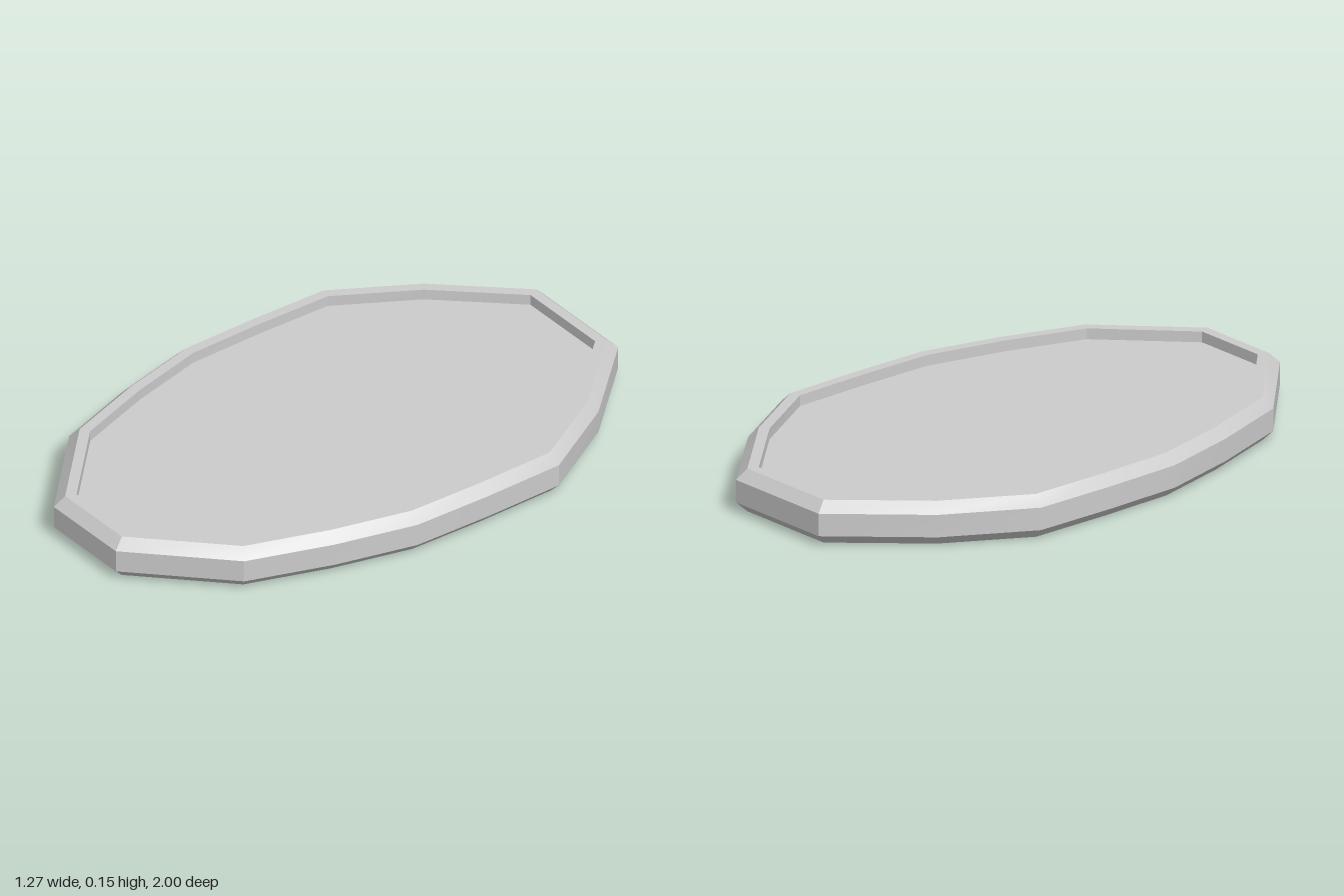
import * as THREE from 'three';
import { toCreasedNormals } from 'three/addons/utils/BufferGeometryUtils.js';

// Half outline [x, z] from back to front, mirrored to close the loop
const half = [
  [0.2, -1], [0.46, -0.72], [0.63, -0.43], [0.635, -0.14],
  [0.63, 0.14], [0.56, 0.42], [0.46, 0.71], [0.163, 1],
];
const outline = [...half, ...half.map(([x, z]) => [-x, z]).reverse()];

// Outline moved inwards by a distance, with mitred corners, at height y
function ring(inset, y) {
  const n = outline.length;
  const normal = (a, b) => new THREE.Vector2(a[1] - b[1], b[0] - a[0]).normalize();
  return outline.map((p, i) => {
    const n0 = normal(outline[(i + n - 1) % n], p);
    const n1 = normal(p, outline[(i + 1) % n]);
    const k = inset / (1 + n0.dot(n1));
    return [p[0] + (n0.x + n1.x) * k, y, p[1] + (n0.y + n1.y) * k];
  });
}

function toMesh(name, triangles) {
  const geometry = new THREE.BufferGeometry();
  geometry.setAttribute('position', new THREE.Float32BufferAttribute(triangles.flat(), 3));
  const material = new THREE.MeshStandardMaterial({ color: 0xcccccc, side: THREE.DoubleSide });
  const mesh = new THREE.Mesh(toCreasedNormals(geometry, THREE.MathUtils.degToRad(25)), material);
  mesh.name = name;
  return mesh;
}

// Skin a stack of rings
function loft(name, rings) {
  const triangles = [];
  for (let r = 0; r < rings.length - 1; r++) {
    const low = rings[r], high = rings[r + 1];
    low.forEach((a, i) => {
      const j = (i + 1) % low.length;
      triangles.push(a, high[i], low[j], low[j], high[i], high[j]);
    });
  }
  return toMesh(name, triangles);
}

export function createModel() {
  const group = new THREE.Group();
  group.name = 'tray';
  const floorY = 0.11;

  // Hollow outer shell: lower chamfer, wall, upper chamfer; open underneath
  group.add(loft('outerShell', [ring(0.035, 0), ring(0, 0.035), ring(0, 0.112), ring(0.035, 0.147)]));

  // Flat rim and the short wall dropping to the floor
  const inner = ring(0.07, floorY);
  group.add(loft('rim', [ring(0.035, 0.147), ring(0.07, 0.147), inner]));

  // Recessed floor
  const fan = [];
  inner.forEach((p, i) => fan.push([0, floorY, 0], inner[(i + 1) % inner.length], p));
  group.add(toMesh('floor', fan));

  return group;
}
